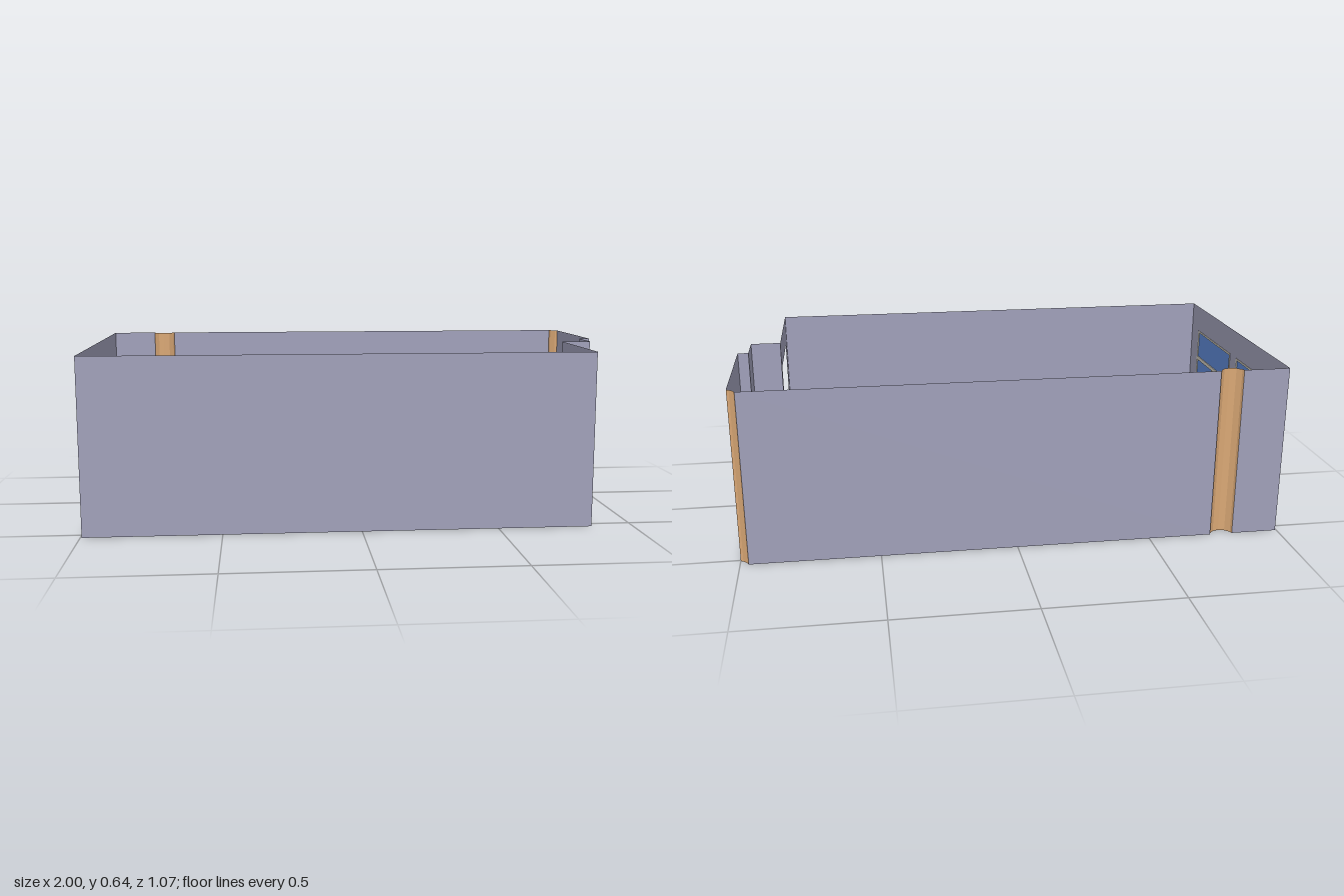
import * as THREE from 'three';

const H = 0.643, X0 = -0.995, XD = 0.847, ZB = -0.537, ZF = 0.537;

function material(name, color, side = THREE.DoubleSide) {
  const m = new THREE.MeshStandardMaterial({ color, side });
  m.name = name;
  return m;
}

// Closed outline from a list of [x, y] points
const outline = (pts, Kind = THREE.Shape) => new Kind(pts.map(([x, y]) => new THREE.Vector2(x, y)));
const rect = (x0, y0, x1, y1) => [[x0, y0], [x1, y0], [x1, y1], [x0, y1]];

export function createModel() {
  const wallMat = material('wall paint', 0xa0a0b9);
  const floorMat = material('floor brown', 0xaf947e);
  const columnMat = material('column tan', 0xdaa875);
  const frameMat = material('window frame', 0xd2cdc0);
  const glassMat = material('window glass', 0x5f89d6);

  const room = new THREE.Group();
  room.name = 'room';

  const add = (parent, name, geometry, mat) => {
    const mesh = new THREE.Mesh(geometry, mat);
    mesh.name = name;
    parent.add(mesh);
    return mesh;
  };

  // Upright sheet between two plan points [x, z], with optional openings
  const panel = (name, a, b, mat = wallMat, openings = [], parent = room) => {
    const dx = b[0] - a[0], dz = b[1] - a[1];
    const shape = outline(rect(0, 0, Math.hypot(dx, dz), H));
    shape.holes = openings.map((o) => outline(rect(...o), THREE.Path));
    const mesh = add(parent, name, new THREE.ShapeGeometry(shape), mat);
    mesh.position.set(a[0], 0, a[1]);
    mesh.rotation.y = Math.atan2(-dz, dx);
  };

  // Plan points on a twelve-sided round column of radius 0.045
  const arc = (cx, cz, degrees) => degrees.map((d) => {
    const t = THREE.MathUtils.degToRad(d);
    return [cx + 0.045 * Math.cos(t), cz + 0.045 * Math.sin(t)];
  });
  const backColumn = [[-0.823, ZB], ...arc(-0.78, -0.549, [150, 120, 90, 60, 30]), [-0.737, ZB]];
  const cornerColumn = [[0.97, ZB], ...arc(1.013, -0.549, [150, 120]), [1, -0.506]];

  // Floor follows the stepped plan and the column recesses
  const plan = [
    [X0, ZB], ...backColumn, ...cornerColumn,
    [1, -0.04], [0.96, -0.04], [0.96, 0.095], [XD, 0.095], [XD, ZF], [X0, ZF],
  ];
  const floor = new THREE.ShapeGeometry(outline(plan.map(([x, z]) => [x, -z])));
  add(room, 'floor', floor.rotateX(-Math.PI / 2), floorMat);

  // Walls
  const windowZ = [-0.42, 0.05], winW = 0.4, winY0 = 0.165, winY1 = 0.537;
  panel('frontWall', [X0, ZF], [XD, ZF]);
  panel('backWallShort', [X0, ZB], backColumn[0]);
  panel('backWallLong', backColumn[6], cornerColumn[0]);
  panel('windowWall', [X0, ZB], [X0, ZF], wallMat,
    windowZ.map((z) => [z - ZB, winY0, z + winW - ZB, winY1]));
  panel('sideWall', [1, -0.506], [1, -0.04]);
  panel('outerStepReturn', [1, -0.04], [0.96, -0.04]);
  panel('stepWall', [0.96, -0.04], [0.96, 0.095]);
  panel('innerStepReturn', [0.96, 0.095], [XD, 0.095]);

  // Door wall: one outline that goes round the doorway
  const doorWall = outline([
    [-ZF, 0], [-0.45, 0], [-0.45, 0.538], [-0.127, 0.538],
    [-0.127, 0], [-0.095, 0], [-0.095, H], [-ZF, H],
  ]);
  const doorMesh = add(room, 'doorWall', new THREE.ShapeGeometry(doorWall), wallMat);
  doorMesh.position.x = XD;
  doorMesh.rotation.y = Math.PI / 2;

  // Columns set into the back wall and the back corner
  for (const [name, pts] of [['backColumn', backColumn], ['cornerColumn', cornerColumn]]) {
    const column = new THREE.Group();
    column.name = name;
    for (let i = 0; i < pts.length - 1; i++) panel('columnFace', pts[i], pts[i + 1], columnMat, [], column);
    room.add(column);
  }

  // Windows: a top light over two casements, each pane a hole in the frame
  const panes = [
    rect(0.008, 0.42, 0.392, 0.529),
    rect(0.008, 0.172, 0.197, 0.405),
    rect(0.203, 0.172, 0.392, 0.405),
  ];
  for (const z of windowZ) {
    const win = new THREE.Group();
    win.name = 'window';
    const shape = outline(rect(0, winY0, winW, winY1));
    shape.holes = panes.map((p) => outline(p, THREE.Path));
    const frame = new THREE.ExtrudeGeometry(shape, { depth: 0.007, bevelEnabled: false });
    add(win, 'windowFrame', frame, frameMat);
    for (const p of panes) {
      add(win, 'windowPane', new THREE.ShapeGeometry(outline(p)), glassMat).position.z = 0.0035;
    }
    win.rotation.y = -Math.PI / 2;
    win.position.set(-0.993, 0, z);
    room.add(win);
  }

  return room;
}
